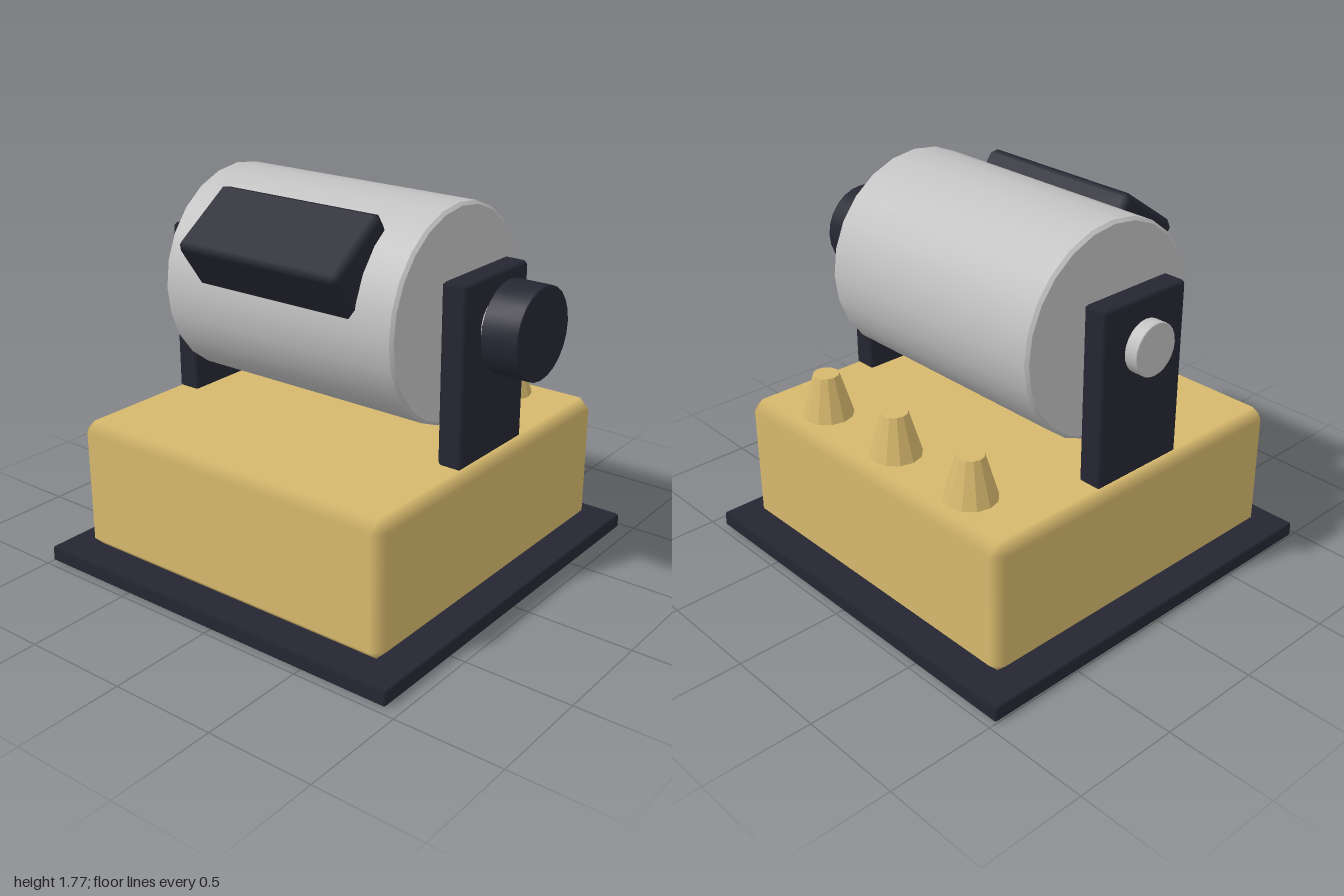
import * as THREE from 'three';
import { toCreasedNormals } from 'three/addons/utils/BufferGeometryUtils.js';
import { ConvexGeometry } from 'three/addons/geometries/ConvexGeometry.js';

const CX = -0.033;      // middle plane of the base, drum and brackets
const AXIS_Y = 1.288;   // height of the drum axis

function material(name, color) {
  const m = new THREE.MeshStandardMaterial({ color });
  m.name = name;
  return m;
}

// Box with chamfered edges; normals follow the flat sides so the chamfers shade softly
function chamferBox(w, h, d, c) {
  const half = [w / 2, h / 2, d / 2];
  const points = [];
  for (const sx of [-1, 1]) for (const sy of [-1, 1]) for (const sz of [-1, 1]) {
    for (let axis = 0; axis < 3; axis++) {
      const p = [sx, sy, sz].map((s, i) => s * (half[i] - (i === axis ? 0 : c)));
      points.push(new THREE.Vector3(...p));
    }
  }
  const geometry = new ConvexGeometry(points);
  const pos = geometry.attributes.position;
  const normal = geometry.attributes.normal;
  for (let i = 0; i < pos.count; i++) {
    const p = [pos.getX(i), pos.getY(i), pos.getZ(i)];
    normal.setXYZ(i, ...p.map((v, k) => (Math.abs(v) > half[k] - c / 2 ? Math.sign(v) : 0)));
  }
  return geometry;
}

// Horizontal turned part along x, with chamfered rims
function turned(x0, x1, radius, c) {
  const h = (x1 - x0) / 2;
  const profile = [[0, -h], [radius - c, -h], [radius, -h + c], [radius, h - c], [radius - c, h], [0, h]];
  const lathe = new THREE.LatheGeometry(profile.map(([r, y]) => new THREE.Vector2(r, y)), 24);
  const geometry = toCreasedNormals(lathe, 0.6);
  geometry.rotateZ(-Math.PI / 2);
  geometry.translate((x0 + x1) / 2, AXIS_Y, 0);
  return geometry;
}

export function createModel() {
  const group = new THREE.Group();
  const dark = material('dark navy', 0x262633);
  const tan = material('tan', 0xd6b86d);
  const grey = material('light grey', 0xc2c2c3);

  function add(name, geometry, mat, x = 0, y = 0, z = 0) {
    const mesh = new THREE.Mesh(geometry, mat);
    mesh.name = name;
    mesh.position.set(x, y, z);
    group.add(mesh);
    return mesh;
  }

  // Base plate and body
  add('basePlate', chamferBox(1.934, 0.075, 1.934, 0.01), dark, CX, 0.0375, 0);
  add('body', chamferBox(1.695, 0.625, 1.695, 0.048), tan, CX, 0.3875, 0);

  // Brackets holding the drum
  for (const side of [-1, 1]) {
    add(side < 0 ? 'rightBracket' : 'leftBracket',
      chamferBox(0.118, 0.81, 0.485, 0.015), dark, CX + side * 0.752, 1.1, 0);
  }

  // Drum, axle and knob
  add('drum', turned(-0.66, 0.595, 0.484, 0.014), grey);
  add('axle', turned(-0.905, 0.84, 0.118, 0.003), grey);
  add('knob', turned(0.83, 1.0, 0.203, 0.003), dark);

  // Tilted block set into the upper front of the drum
  const block = add('frontBlock', chamferBox(0.87, 0.3, 0.385, 0.03), dark, CX, 1.532, 0.369);
  block.rotation.x = 0.61;

  // Row of tapered pegs along the back
  for (let i = -1; i <= 1; i++) {
    const peg = new THREE.CylinderGeometry(0.06, 0.12, 0.21, 12).toNonIndexed();
    peg.computeVertexNormals();
    add('peg', peg, tan, CX + i * 0.485, 0.797, -0.655);
  }

  return group;
}
